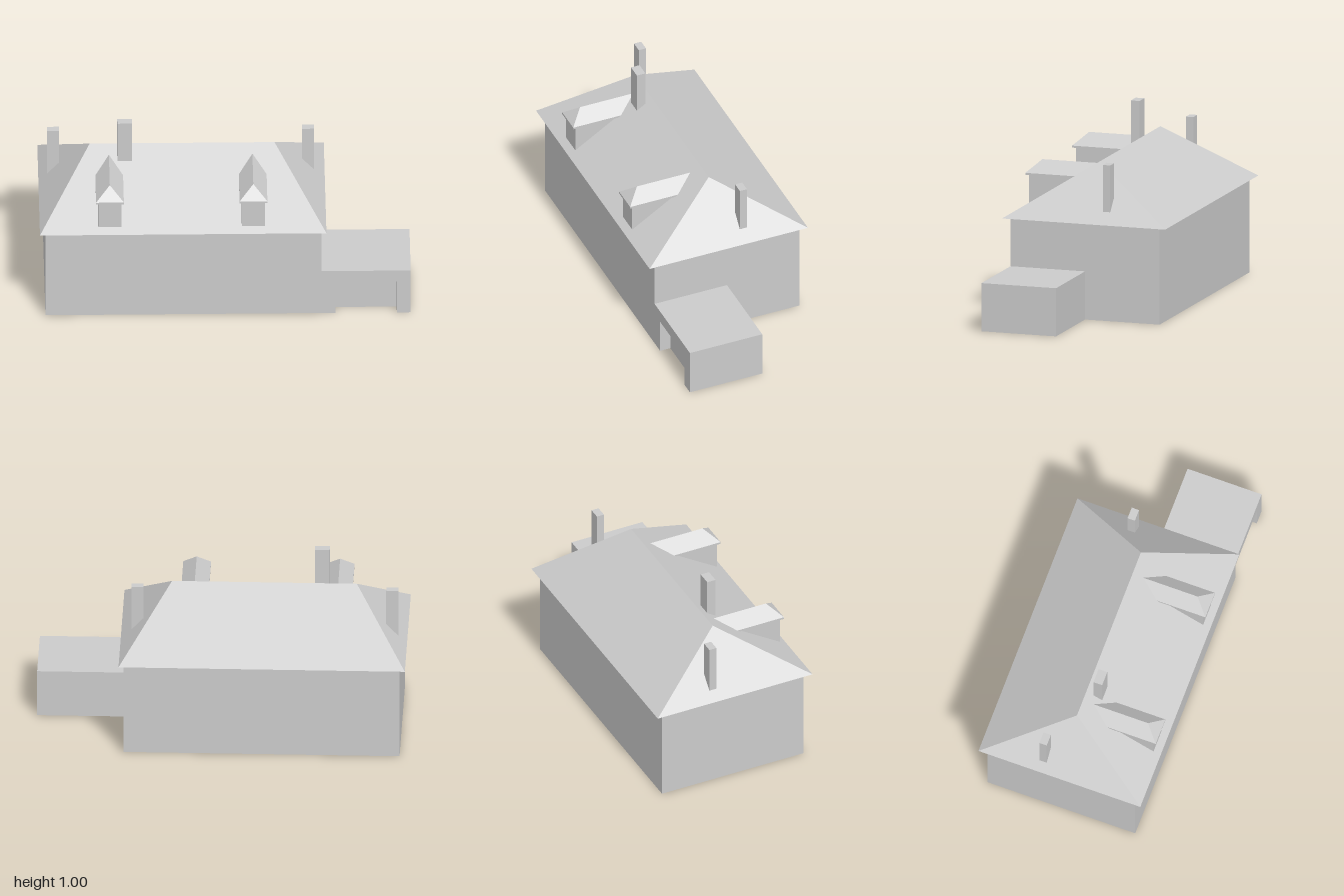
import * as THREE from 'three';

const material = new THREE.MeshStandardMaterial({ color: 0xcccccc, flatShading: true, side: THREE.DoubleSide });

function add(parent, name, geometry) {
  const mesh = new THREE.Mesh(geometry, material);
  mesh.name = name;
  parent.add(mesh);
  return mesh;
}

// Flat polygons given as corner loops, each fanned into triangles
function faces(corners, loops) {
  const positions = [];
  for (const loop of loops)
    for (let i = 1; i < loop.length - 1; i++)
      positions.push(...corners[loop[0]], ...corners[loop[i]], ...corners[loop[i + 1]]);
  const geometry = new THREE.BufferGeometry();
  geometry.setAttribute('position', new THREE.Float32BufferAttribute(positions, 3));
  geometry.computeVertexNormals();
  return geometry;
}

// Box between limits, with an optional rule that moves its vertices
function box(x0, x1, y0, y1, z0, z1, rule) {
  let geometry = new THREE.BoxGeometry(x1 - x0, y1 - y0, z1 - z0);
  geometry.translate((x0 + x1) / 2, (y0 + y1) / 2, (z0 + z1) / 2);
  if (rule) {
    geometry = geometry.toNonIndexed();
    const p = geometry.attributes.position;
    const v = new THREE.Vector3();
    for (let i = 0; i < p.count; i++) {
      rule(v.fromBufferAttribute(p, i));
      p.setXYZ(i, v.x, v.y, v.z);
    }
    geometry.computeVertexNormals();
  }
  return geometry;
}

// Four corners of a level rectangle: front left, front right, back right, back left
const rect = (x0, x1, z0, z1, y) => [[x0, y, z1], [x1, y, z1], [x1, y, z0], [x0, y, z0]];
const SIDES = [[0, 1, 5, 4], [1, 2, 6, 5], [2, 3, 7, 6], [3, 0, 4, 7]];

// Main roof dimensions and its slopes
const EAVE = 0.53, RIDGE = 0.823, X0 = -1, X1 = 0.545, Z = 0.465, R0 = -0.725, R1 = 0.272;
const roofZ = y => Z * (RIDGE - y) / (RIDGE - EAVE);
const roofY = (x, z) => EAVE + (RIDGE - EAVE) *
  Math.min(1 - Math.abs(z) / Z, (x - X0) / (R0 - X0), (X1 - x) / (X1 - R1));

function dormer(x) {
  const group = new THREE.Group();
  group.name = 'dormer';
  const toRoof = v => { if (v.z < 0.3) v.z = roofZ(v.y); };
  add(group, 'dormerWalls', box(-0.063, 0.063, 0.556, 0.71, 0.2, 0.425, toRoof));
  add(group, 'dormerEaves', box(-0.075, 0.075, 0.71, 0.721, 0.1, 0.442, toRoof));
  add(group, 'dormerRoof', faces(
    [...rect(-0.075, 0.075, roofZ(0.721), 0.442, 0.721), [0, 0.787, 0.37], [0, 0.787, roofZ(0.787)]],
    [[0, 1, 4], [1, 2, 5, 4], [3, 0, 4, 5]]));
  group.position.x = x;
  return group;
}

function garage() {
  const group = new THREE.Group();
  group.name = 'garage';
  const x0 = 0.52, x1 = 1, z1 = 0.425, top = 0.265;
  const d0 = 0.595, d1 = 0.925, doorTop = 0.196, doorZ = 0.365;
  // side wall, back wall and flat roof
  add(group, 'garageShell', faces([...rect(x0, x1, 0, z1, 0), ...rect(x0, x1, 0, z1, top)],
    [SIDES[1], SIDES[2], [4, 5, 6, 7]]));
  // front wall around the doorway
  const front = new THREE.Shape([[x0, 0], [d0, 0], [d0, doorTop], [d1, doorTop], [d1, 0], [x1, 0], [x1, top], [x0, top]]
    .map(p => new THREE.Vector2(...p)));
  add(group, 'garageFront', new THREE.ShapeGeometry(front).translate(0, 0, z1));
  // recessed door with its jambs and lintel
  add(group, 'garageDoor', faces([...rect(d0, d1, doorZ, z1, 0), ...rect(d0, d1, doorZ, z1, doorTop)],
    [[3, 2, 6, 7], [0, 3, 7, 4], [2, 1, 5, 6], [7, 6, 5, 4]]));
  return group;
}

export function createModel() {
  const model = new THREE.Group();
  model.name = 'house';

  // Open-bottomed wall shell
  add(model, 'walls', faces([...rect(-0.97, 0.52, -0.425, 0.425, 0), ...rect(-0.97, 0.52, -0.425, 0.425, EAVE)], SIDES));

  // Hipped roof with a flat underside
  add(model, 'roof', faces([...rect(X0, X1, -Z, Z, EAVE), [R0, RIDGE, 0], [R1, RIDGE, 0]],
    [[0, 1, 5, 4], [1, 2, 5], [2, 3, 4, 5], [3, 0, 4], [3, 2, 1, 0]]));

  for (const x of [-0.622, 0.152]) model.add(dormer(x));

  // Chimneys, with their feet cut to the roof slope
  for (const [name, x0, x1, z0, z1, top] of [
    ['leftEndChimney', 0.422, 0.487, -0.132, -0.09, 0.85],
    ['rightEndChimney', -0.953, -0.888, -0.132, -0.09, 0.85],
    ['frontChimney', -0.577, -0.497, 0.04, 0.09, 1.003],
  ]) add(model, name, box(x0, x1, 0.5, top, z0, z1, v => { if (v.y < 0.6) v.y = roofY(v.x, v.z); }));

  model.add(garage());
  return model;
}
